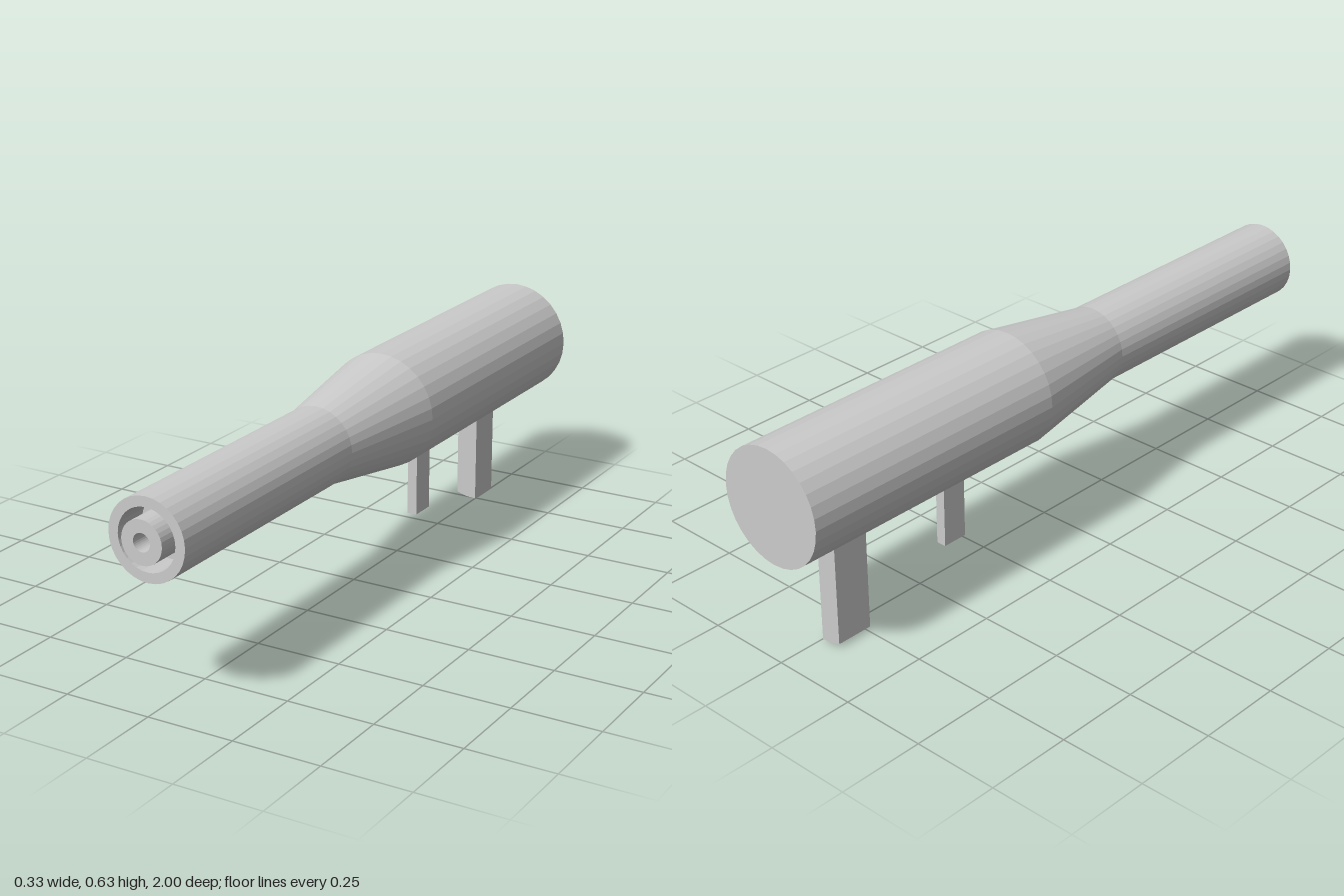
import * as THREE from 'three';

const AXIS_Y = 0.465; // height of the tube axis
const RADIUS = 0.167; // widest radius
const SIDES = 32;

const material = new THREE.MeshStandardMaterial({ color: 0xcccccc, flatShading: true });

// Revolve [radius, z] points around the long axis
function revolve(name, profile) {
  const geometry = new THREE.LatheGeometry(profile.map(([r, z]) => new THREE.Vector2(r, z)), SIDES);
  geometry.rotateX(Math.PI / 2);
  const mesh = new THREE.Mesh(geometry, material);
  mesh.name = name;
  mesh.position.y = AXIS_Y;
  return mesh;
}

// Post under the body whose foot follows the curve of the body
function post(name, x0, x1, bottom, zBack, zFront) {
  const curveY = (x) => bottom + RADIUS - Math.sqrt(RADIUS * RADIUS - x * x);
  const top = AXIS_Y - RADIUS + 0.015;
  const shape = new THREE.Shape();
  shape.moveTo(x0, top);
  const steps = 4;
  for (let i = 0; i <= steps; i++) {
    const x = x0 + ((x1 - x0) * i) / steps;
    shape.lineTo(x, curveY(x));
  }
  shape.lineTo(x1, top);
  shape.closePath();
  const geometry = new THREE.ExtrudeGeometry(shape, { depth: zFront - zBack, bevelEnabled: false });
  const mesh = new THREE.Mesh(geometry, material);
  mesh.name = name;
  mesh.position.z = zBack;
  return mesh;
}

export function createModel() {
  const model = new THREE.Group();
  model.name = 'taperedTube';

  // Wide rear, taper, narrow front and the recess in its end
  model.add(revolve('body', [
    [0, -1], [RADIUS, -1], [RADIUS, -0.15], [0.113, 0.2],
    [0.113, 0.98], [0.085, 0.98], [0.085, 0.88], [0, 0.88],
  ]));

  // Small hollow tube standing inside the recess
  model.add(revolve('innerTube', [
    [0.06, 0.88], [0.06, 1], [0.025, 1], [0.025, 0.9], [0, 0.9],
  ]));

  // Posts on the underside
  model.add(post('rearPost', -0.063, 0, 0, -0.855, -0.745));
  model.add(post('frontPost', -0.015, 0.015, 0.086, -0.415, -0.338));

  return model;
}
